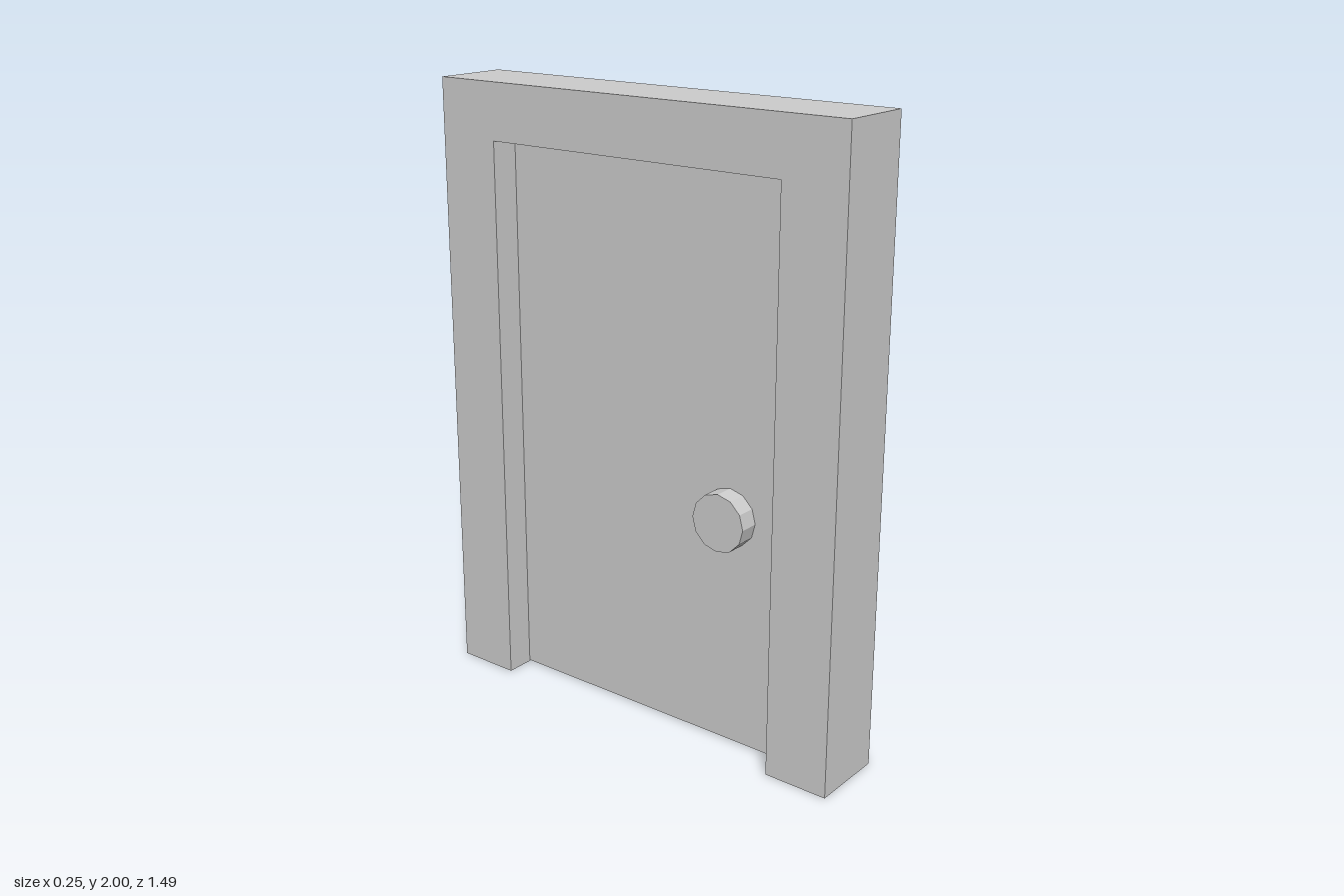
import * as THREE from 'three';

const HALF_WIDTH = 0.745, HEIGHT = 2, DEPTH = 0.25;
const OPENING_HALF = 0.532, OPENING_TOP = 1.82;
const DOOR_THICKNESS = 0.06, DOOR_BOTTOM = 0.004;
const KNOB_RADIUS = 0.093, KNOB_DEPTH = 0.064;

export function createModel() {
  const group = new THREE.Group();
  const material = new THREE.MeshStandardMaterial({ color: 0xcccccc, flatShading: true });
  const add = (name, geometry) => {
    const mesh = new THREE.Mesh(geometry, material);
    mesh.name = name;
    group.add(mesh);
    return mesh;
  };

  // Frame: an upside-down U, extruded through the wall thickness along x
  const outline = new THREE.Shape([
    [-HALF_WIDTH, 0], [-OPENING_HALF, 0], [-OPENING_HALF, OPENING_TOP],
    [OPENING_HALF, OPENING_TOP], [OPENING_HALF, 0], [HALF_WIDTH, 0],
    [HALF_WIDTH, HEIGHT], [-HALF_WIDTH, HEIGHT],
  ].map(([z, y]) => new THREE.Vector2(z, y)));
  const frame = new THREE.ExtrudeGeometry(outline, { depth: DEPTH, bevelEnabled: false });
  frame.translate(0, 0, -DEPTH / 2).rotateY(Math.PI / 2);
  add('doorFrame', frame);

  // Door leaf, set in the middle of the frame
  const doorHeight = OPENING_TOP - DOOR_BOTTOM;
  const door = add('doorLeaf', new THREE.BoxGeometry(DOOR_THICKNESS, doorHeight, OPENING_HALF * 2));
  door.position.y = DOOR_BOTTOM + doorHeight / 2;

  // One round knob on each side of the leaf
  for (const [name, side] of [['leftKnob', 1], ['rightKnob', -1]]) {
    const knob = add(name, new THREE.CylinderGeometry(KNOB_RADIUS, KNOB_RADIUS, KNOB_DEPTH, 12));
    knob.rotation.z = Math.PI / 2;
    knob.position.set(side * (DOOR_THICKNESS + KNOB_DEPTH) / 2, 0.76, 0.315);
  }

  return group;
}
